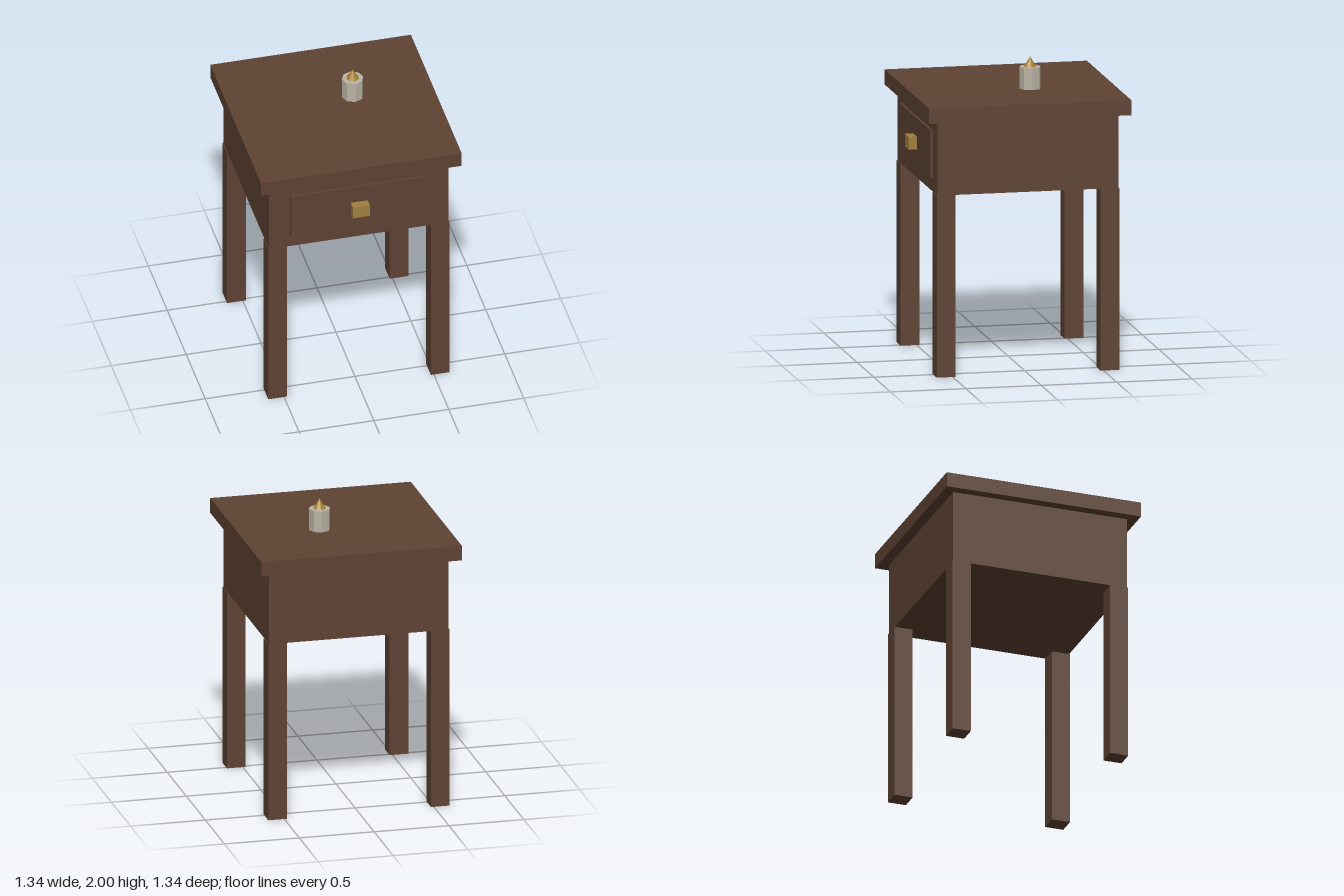
import * as THREE from 'three';

const material = (name, color) => {
  const m = new THREE.MeshStandardMaterial({ color, flatShading: true });
  m.name = name;
  return m;
};

export function createModel() {
  const group = new THREE.Group();
  const wood = material('darkWood', 0x5f4333);
  const brass = material('brass', 0xa08040);
  const wax = material('wax', 0xbab4a4);
  const flameGold = material('flameGold', 0xa88030);

  const add = (name, geometry, mat, x, y, z) => {
    const mesh = new THREE.Mesh(geometry, mat);
    mesh.name = name;
    mesh.position.set(x, y, z);
    group.add(mesh);
  };
  // Box given by its size, its centre in x and z, and its lower edge
  const box = (name, mat, w, h, d, x, y0, z) =>
    add(name, new THREE.BoxGeometry(w, h, d), mat, x, y0 + h / 2, z);

  // Table top and cabinet
  box('tableTop', wood, 1.34, 0.1, 1.34, 0, 1.69, 0);
  box('cabinet', wood, 1.2, 0.49, 1.2, 0, 1.2, 0);

  // Four square legs, slightly proud of the cabinet
  for (const [side, sx] of [['Left', 1], ['Right', -1]]) {
    for (const [end, sz] of [['front', 1], ['back', -1]]) {
      box(`${end}${side}Leg`, wood, 0.125, 1.2, 0.125, sx * 0.543, 0, sz * 0.543);
    }
  }

  // Drawer front with its knob
  box('drawerFront', wood, 0.915, 0.315, 0.025, 0, 1.29, 0.6025);
  box('drawerKnob', brass, 0.112, 0.085, 0.06, 0, 1.4, 0.642);

  // Candle standing on the top
  add('candle', new THREE.CylinderGeometry(0.071, 0.071, 0.143, 8), wax, 0.14, 1.8615, -0.115);
  add('flame', new THREE.ConeGeometry(0.042, 0.068, 8), flameGold, 0.14, 1.966, -0.115);

  return group;
}
